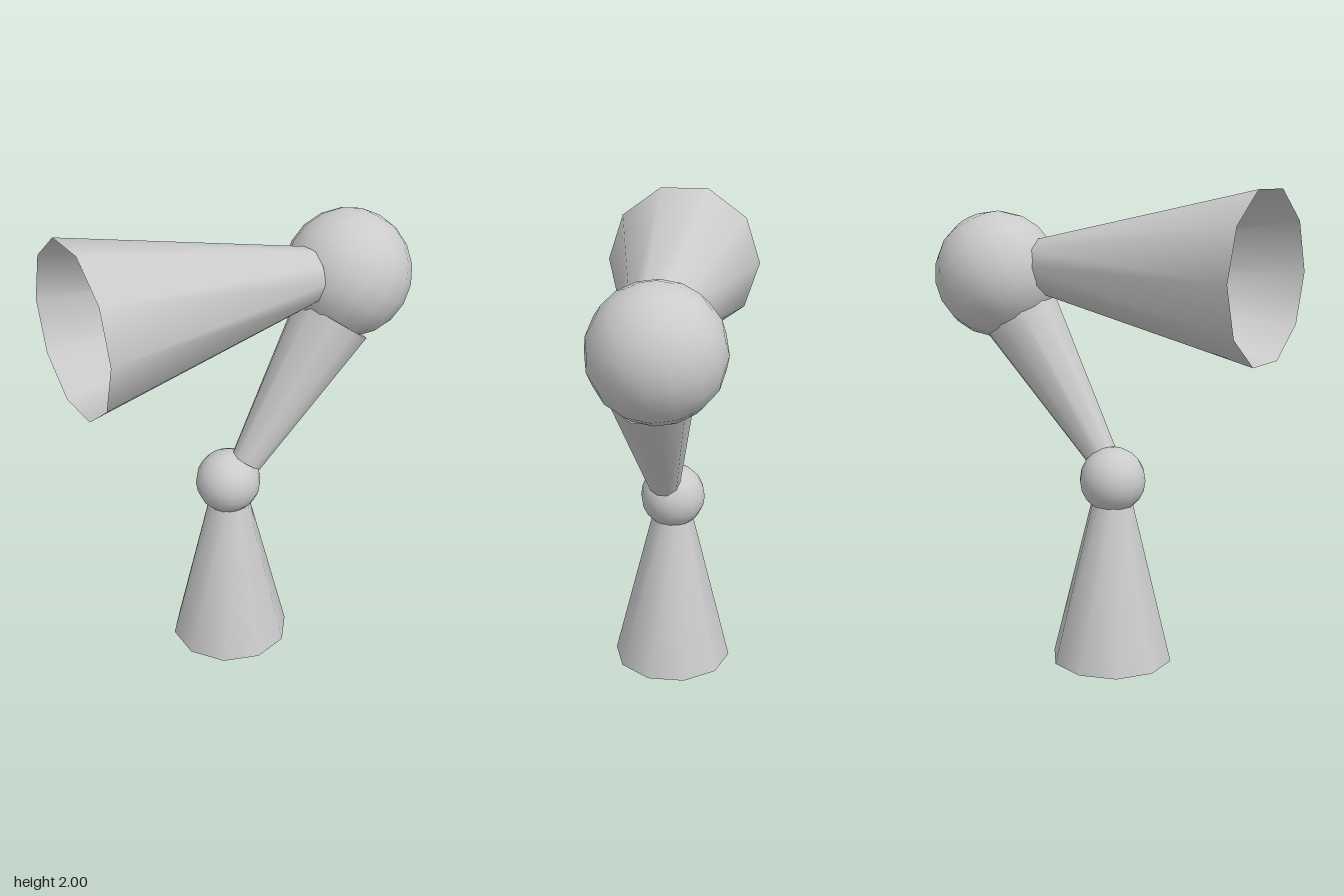
import * as THREE from 'three';

const material = new THREE.MeshStandardMaterial({ color: 0xcccccc, side: THREE.DoubleSide });
const UP = new THREE.Vector3(0, 1, 0);

// Open ten-sided cone section running from point a (radius ra) to point b (radius rb)
function taperedTube(name, a, ra, b, rb) {
  const start = new THREE.Vector3(...a);
  const end = new THREE.Vector3(...b);
  const axis = end.clone().sub(start);
  const mesh = new THREE.Mesh(
    new THREE.CylinderGeometry(rb, ra, axis.length(), 10, 1, true), material);
  mesh.name = name;
  mesh.position.copy(start).add(end).multiplyScalar(0.5);
  mesh.quaternion.setFromUnitVectors(UP, axis.normalize());
  return mesh;
}

// Ball joint, its poles leaning with the arm
function ball(name, centre, radius, lean) {
  const mesh = new THREE.Mesh(new THREE.SphereGeometry(radius, 16, 10), material);
  mesh.name = name;
  mesh.position.set(...centre);
  mesh.rotation.z = lean;
  return mesh;
}

export function createModel() {
  const lamp = new THREE.Group();
  lamp.name = 'deskLamp';
  lamp.add(
    // Flared foot and the small joint on top of it
    taperedTube('base', [-0.088, 0, -0.03], 0.26, [-0.088, 0.69, -0.03], 0.09),
    ball('lowerJoint', [-0.09, 0.79, -0.03], 0.14, 0),
    // Leaning arm that widens towards the large joint
    taperedTube('arm', [-0.018, 0.88, 0], 0.07, [0.397, 1.46, 0], 0.175),
    ball('upperJoint', [0.495, 1.63, -0.035], 0.27, -0.6),
    // Open conical shade
    taperedTube('shade', [0.285, 1.673, 0], 0.118, [-0.765, 1.667, 0], 0.35),
  );
  return lamp;
}
